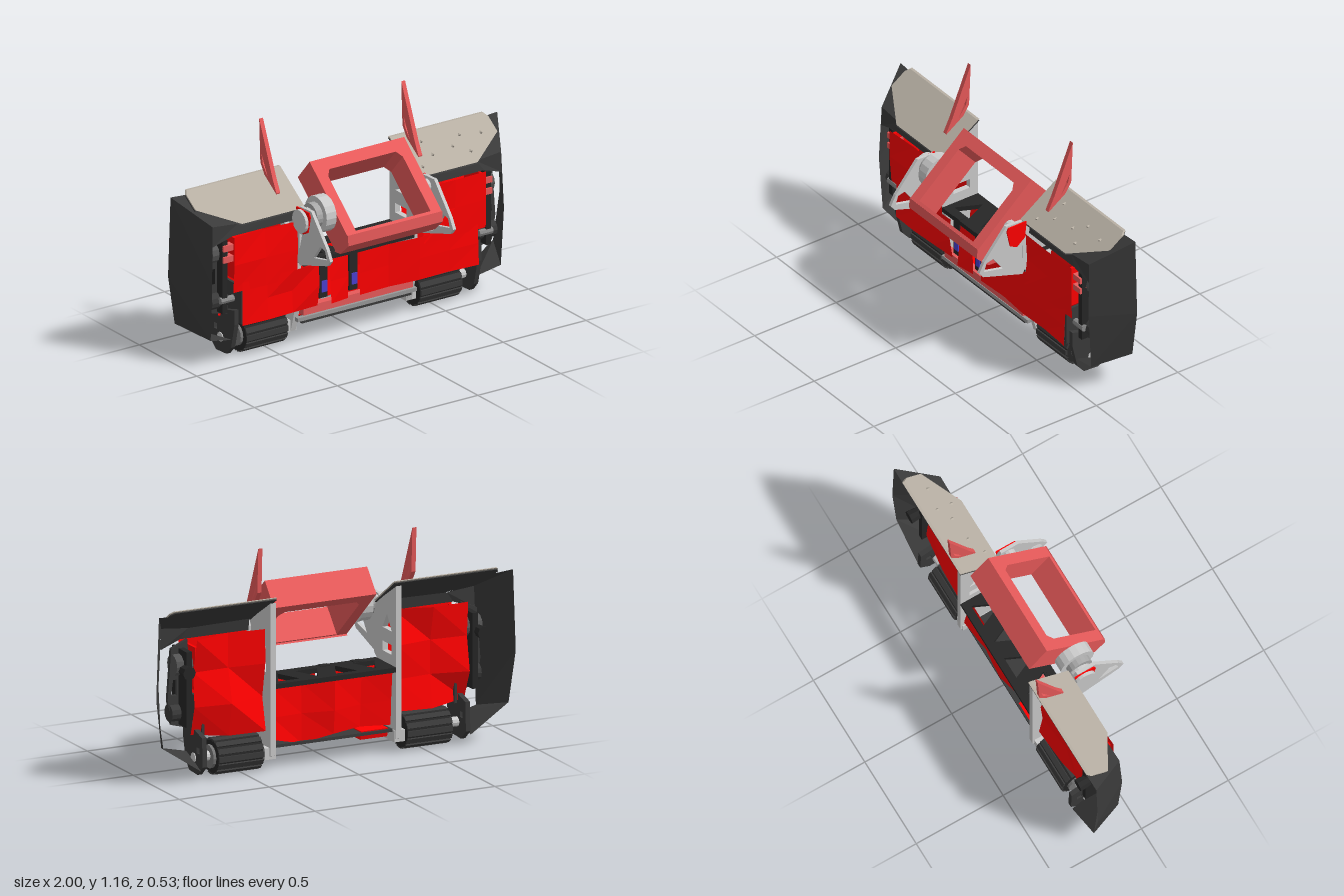
import * as THREE from 'three';

const RED = 0xff0000, PINK = 0xe85a5a, DARK = 0x3a3a3a, BLACK = 0x262626, TAN = 0xb8b0a4, GREY = 0xcccccc;

export function createModel() {
  const model = new THREE.Group();

  const add = (name, geo, color, double = false) => {
    const mat = new THREE.MeshStandardMaterial({ color, flatShading: true });
    if (double) mat.side = THREE.DoubleSide;
    const mesh = new THREE.Mesh(geo, mat);
    mesh.name = name;
    model.add(mesh);
    return mesh;
  };
  // Box given by its lower and upper limits
  const box = (name, x0, x1, y0, y1, z0, z1, color) => add(name,
    new THREE.BoxGeometry(x1 - x0, y1 - y0, z1 - z0)
      .translate((x0 + x1) / 2, (y0 + y1) / 2, (z0 + z1) / 2), color);
  const makeShape = (pts, holes = []) => {
    const shape = new THREE.Shape(pts.map(p => new THREE.Vector2(...p)));
    for (const h of holes) shape.holes.push(new THREE.Path(h.map(p => new THREE.Vector2(...p))));
    return shape;
  };
  // Profile in (z, y) extruded from x0 to x1
  const prism = (name, pts, x0, x1, color, holes) => add(name,
    new THREE.ExtrudeGeometry(makeShape(pts, holes), { depth: x1 - x0, bevelEnabled: false })
      .rotateY(-Math.PI / 2).translate(x1, 0, 0), color);
  // Cylinder along x
  const rod = (name, x0, x1, y, z, r, color, sides = 16) => add(name,
    new THREE.CylinderGeometry(r, r, x1 - x0, sides).rotateZ(Math.PI / 2)
      .translate((x0 + x1) / 2, y, z), color);
  // Creased thin sheet facing z, with an optional ragged lower edge
  const sheet = (name, x0, x1, y0, y1, z, amp, nx, ny, ragged = 0) => {
    const geo = new THREE.PlaneGeometry(x1 - x0, y1 - y0, nx, ny)
      .translate((x0 + x1) / 2, (y0 + y1) / 2, z);
    const p = geo.attributes.position;
    for (let i = 0; i < p.count; i++) {
      const wave = Math.sin(i * 2.4 + x0 * 9) * Math.cos(i * 1.3 + y0 * 5);
      p.setZ(i, z + amp * wave);
      if (p.getY(i) < y0 + 0.001) p.setY(i, y0 + ragged * Math.abs(wave));
    }
    return add(name, geo.toNonIndexed(), RED, true);
  };
  // Open strip lofted between two equally long point rows
  const loft = (name, a, b, color) => {
    const geo = new THREE.BufferGeometry();
    const v = [];
    for (let i = 0; i < a.length - 1; i++) {
      v.push(...a[i], ...b[i], ...b[i + 1], ...a[i], ...b[i + 1], ...a[i + 1]);
    }
    geo.setAttribute('position', new THREE.Float32BufferAttribute(v, 3));
    geo.computeVertexNormals();
    return add(name, geo, color, true);
  };
  // Sort mirrored limits
  const span = (s, a, b) => (s > 0 ? [a, b] : [-b, -a]);

  for (const s of [1, -1]) {
    // Outer shell, wider at the back, its top tucked under the plate
    const back = [[0.88, 0.862], [0.985, 0.87], [1, 0.45], [0.96, 0.19], [0.75, 0.05]];
    const front = [[0.72, 0.735], [0.87, 0.75], [0.88, 0.45], [0.875, 0.14], [0.735, 0.11]];
    const frontZ = [-0.05, -0.05, -0.04, -0.06, -0.07];
    loft('sideShell', back.map(p => [s * p[0], p[1], -0.25]),
      front.map((p, i) => [s * p[0], p[1], frontZ[i]]), DARK);
    // Front return of the shell under the plate
    loft('shellReturn', [[s * 0.38, 0.74, -0.05], [s * 0.72, 0.735, -0.05], [s * 0.87, 0.75, -0.05]],
      [[s * 0.38, 0.68, -0.04], [s * 0.76, 0.68, -0.04], [s * 0.875, 0.64, -0.05]], DARK);

    // Sloping top plate with a dark lining
    const plate = [[0.33, 0.74], [0.71, 0.74], [0.91, 0.82], [0.91, 0.875], [0.895, 0.89], [0.33, 0.89]];
    for (const [name, color, drop] of [['topPlate', TAN, 0], ['plateLining', DARK, 0.009]]) {
      const geo = new THREE.ExtrudeGeometry(makeShape(plate.map(p => [s * p[0], p[1]])),
        { depth: 0.014, bevelEnabled: false });
      const p = geo.attributes.position;
      for (let i = 0; i < p.count; i++) {
        p.setZ(i, p.getZ(i) - 0.255 + (0.89 - p.getY(i)) * 1.45);
        p.setY(i, p.getY(i) - drop);
      }
      geo.computeVertexNormals();
      add(name, geo, color);
    }

    // Thin upright fin with a slit
    prism('fin', [[-0.265, 1.16], [-0.255, 0.93], [-0.21, 0.86], [-0.12, 0.79], [-0.115, 0.81], [-0.15, 0.88]],
      ...span(s, 0.417, 0.44), PINK, [[[-0.245, 0.98], [-0.235, 0.93], [-0.19, 0.87]]]);

    // Inner upright plate
    prism('innerPlate', [[-0.25, 0.08], [-0.2, 0.06], [-0.1, 0.06], [-0.06, 0.2], [-0.05, 0.44], [-0.01, 0.47],
      [-0.01, 0.72], [-0.06, 0.75], [-0.25, 0.865]],
      ...span(s, 0.335, 0.365), GREY,
      [[[-0.2, 0.5], [-0.1, 0.5], [-0.1, 0.55], [-0.2, 0.55]],
        [[-0.2, 0.62], [-0.1, 0.62], [-0.15, 0.7]]]);
    // Pointed arm bracket reaching forward
    prism('armBracket', [[0, 0.45], [0.24, 0.525], [0.265, 0.555], [0.235, 0.61], [0.1, 0.77], [0, 0.765], [-0.04, 0.7], [-0.03, 0.5]],
      ...span(s, 0.362, 0.38), GREY,
      [[[0.22, 0.6], [0.18, 0.61], [0.12, 0.53], [0.235, 0.555]],
        [[0.022, 0.62], [0, 0.62], [0, 0.54]]]);
    prism('bracketCover', [[0.1, 0.74], [0.08, 0.65], [0.04, 0.63], [-0.01, 0.67], [-0.02, 0.76], [0.09, 0.76]],
      ...span(s, 0.381, 0.388), RED);
    box('bracketFoot', ...span(s, 0.33, 0.39), 0.06, 0.12, -0.24, -0.1, GREY);

    // Creased red panels, front and back
    sheet('frontPanel', ...span(s, 0.38, 0.76), 0.38, 0.68, -0.02, 0.01, 2, 2);
    sheet('backPanel', ...span(s, 0.365, 0.76), 0.19, 0.72, -0.19, 0.04, 2, 3, 0.03);
    // Outer walls joining the panels
    box('panelRim', ...span(s, 0.735, 0.75), 0.45, 0.67, -0.18, -0.03, RED);
    box('lowerRim', ...span(s, 0.695, 0.71), 0.2, 0.4, -0.18, -0.03, DARK);

    // Ribbed roller with end caps
    rod('roller', ...span(s, 0.4, 0.65), 0.095, -0.16, 0.088, BLACK, 14);
    for (let i = 0; i < 14; i++) {
      const a = i * Math.PI * 2 / 14;
      const [x0, x1] = span(s, 0.4, 0.65);
      add('rollerRib', new THREE.BoxGeometry(x1 - x0, 0.012, 0.028).rotateX(-a + Math.PI / 2)
        .translate((x0 + x1) / 2, 0.095 + 0.087 * Math.sin(a), -0.16 + 0.087 * Math.cos(a)), DARK);
    }
    rod('rollerCap', ...span(s, 0.65, 0.665), 0.095, -0.16, 0.06, 0x777777, 14);
    rod('rollerAxle', ...span(s, 0.36, 0.75), 0.1, -0.16, 0.025, GREY, 10);
    prism('rollerSidePlate', [[-0.07, 0.07], [-0.11, 0.025], [-0.2, 0.02], [-0.255, 0.07], [-0.25, 0.22], [-0.04, 0.28], [-0.04, 0.2]],
      ...span(s, 0.72, 0.745), DARK, [[[-0.19, 0.13], [-0.19, 0.16], [-0.22, 0.16], [-0.22, 0.13]]]);

    // Machinery between panel and shell
    box('sideFrame', ...span(s, 0.78, 0.81), 0.27, 0.66, -0.21, -0.05, BLACK);
    add('sideWeb', new THREE.ExtrudeGeometry(makeShape(
      [[0.74, 0.24], [0.85, 0.27], [0.87, 0.4], [0.85, 0.66], [0.76, 0.7]].map(([x, y]) => [s * x, y]),
      [[[0.82, 0.42], [0.85, 0.42], [0.84, 0.5], [0.82, 0.5]].map(([x, y]) => [s * x, y])]),
    { depth: 0.02, bevelEnabled: false }).translate(0, 0, -0.12), DARK);
    for (const y of [0.56, 0.62]) box('sideBar', ...span(s, 0.73, 0.81), y - 0.016, y + 0.016, -0.08, -0.04, PINK);
    rod('lowerHub', ...span(s, 0.76, 0.86), 0.33, -0.11, 0.045, DARK, 12);
    rod('lowerPin', ...span(s, 0.74, 0.82), 0.34, -0.06, 0.018, 0x888888, 8);
    rod('upperHub', ...span(s, 0.76, 0.85), 0.58, -0.13, 0.055, 0x555555, 12);
    add('rearKnob', new THREE.CylinderGeometry(0.03, 0.035, 0.06, 8).rotateX(Math.PI / 2)
      .translate(s * 0.82, 0.565, -0.23), BLACK);
  }

  // Creased red lower front, split by two slots
  for (const [x0, x1, n] of [[-0.71, -0.25, 3], [-0.18, -0.07, 1], [0, 0.71, 4]]) {
    sheet('lowerFrontPanel', x0, x1, 0.195, 0.425, -0.022, 0.012, n, 2);
  }
  for (const x of [-0.215, -0.035]) {
    box('slotArm', x - 0.025, x + 0.025, 0.23, 0.45, -0.07, -0.03, BLACK);
    box('slotSensor', x - 0.012, x + 0.02, 0.26, 0.32, -0.035, -0.025, 0x4a40d0);
  }
  sheet('centreBackPanel', -0.335, 0.335, 0.11, 0.42, -0.205, 0.035, 4, 2, 0.06);

  // Flat centre deck with triangular windows
  const windows = [-0.3, -0.14, 0.02, 0.18].map((x, i) => (i % 2
    ? [[x, -0.21], [x + 0.12, -0.21], [x + 0.06, -0.08]]
    : [[x, -0.08], [x + 0.12, -0.08], [x + 0.06, -0.21]]));
  add('centreDeck', new THREE.ExtrudeGeometry(
    makeShape([[-0.335, -0.25], [0.335, -0.25], [0.335, -0.03], [-0.335, -0.03]], windows),
    { depth: 0.025, bevelEnabled: false }).rotateX(Math.PI / 2).translate(0, 0.447, 0), BLACK);

  // Rails and tray along the bottom
  box('lowerRail', -0.33, 0.33, 0.155, 0.2, -0.08, -0.04, PINK);
  box('lowerGreyRail', -0.36, 0.36, 0.125, 0.145, -0.07, -0.045, 0x999999);
  box('bottomTray', -0.33, 0.33, 0.11, 0.125, -0.22, -0.05, DARK);
  prism('lowerSkid', [[-0.11, 0.13], [-0.14, 0.085], [-0.2, 0.085], [-0.21, 0.13]], -0.31, -0.16, RED);

  // Tilted open frame: a ring with chamfered window, pushed along its own axis
  const ring = makeShape([[-0.25, -0.22], [0.32, -0.22], [0.32, 0.22], [-0.25, 0.22]],
    [[[-0.19, -0.2], [0.26, -0.2], [0.26, 0.12], [0.235, 0.155], [-0.165, 0.155], [-0.19, 0.12]]]);
  const frame = add('tiltedFrame', new THREE.ExtrudeGeometry(ring, { depth: 0.155, bevelEnabled: false })
    .translate(0, 0, -0.155), PINK);
  frame.position.set(0, 0.795, 0.065);
  frame.rotation.x = -0.85;
  // Thick lower lip of the frame
  prism('frameLip', [[0.232, 0.655], [0.236, 0.6], [0.165, 0.535], [0.115, 0.532], [0.15, 0.58]], -0.25, 0.32, PINK);

  // Pivots that carry the frame
  rod('pivotMotor', -0.31, -0.25, 0.72, 0.04, 0.095, GREY, 18);
  rod('pivotCollar', -0.345, -0.31, 0.72, 0.04, 0.065, 0xaaaaaa, 18);
  rod('pivotDisc', -0.405, -0.345, 0.7, 0.03, 0.06, GREY, 18);
  rod('pivotPin', 0.32, 0.37, 0.72, 0.04, 0.035, GREY, 12);
  box('pivotBlock', 0.335, 0.375, 0.5, 0.66, -0.02, 0.1, GREY);

  // Studs on the left plate
  for (const [x, y] of [[0.48, 0.85], [0.7, 0.84], [0.63, 0.81], [0.5, 0.8], [0.71, 0.78], [0.41, 0.77], [0.82, 0.83]]) {
    add('plateStud', new THREE.ConeGeometry(0.016, 0.02, 4).rotateX(0.98)
      .translate(x, y, -0.238 + (0.89 - y) * 1.45), TAN);
  }
  return model;
}
